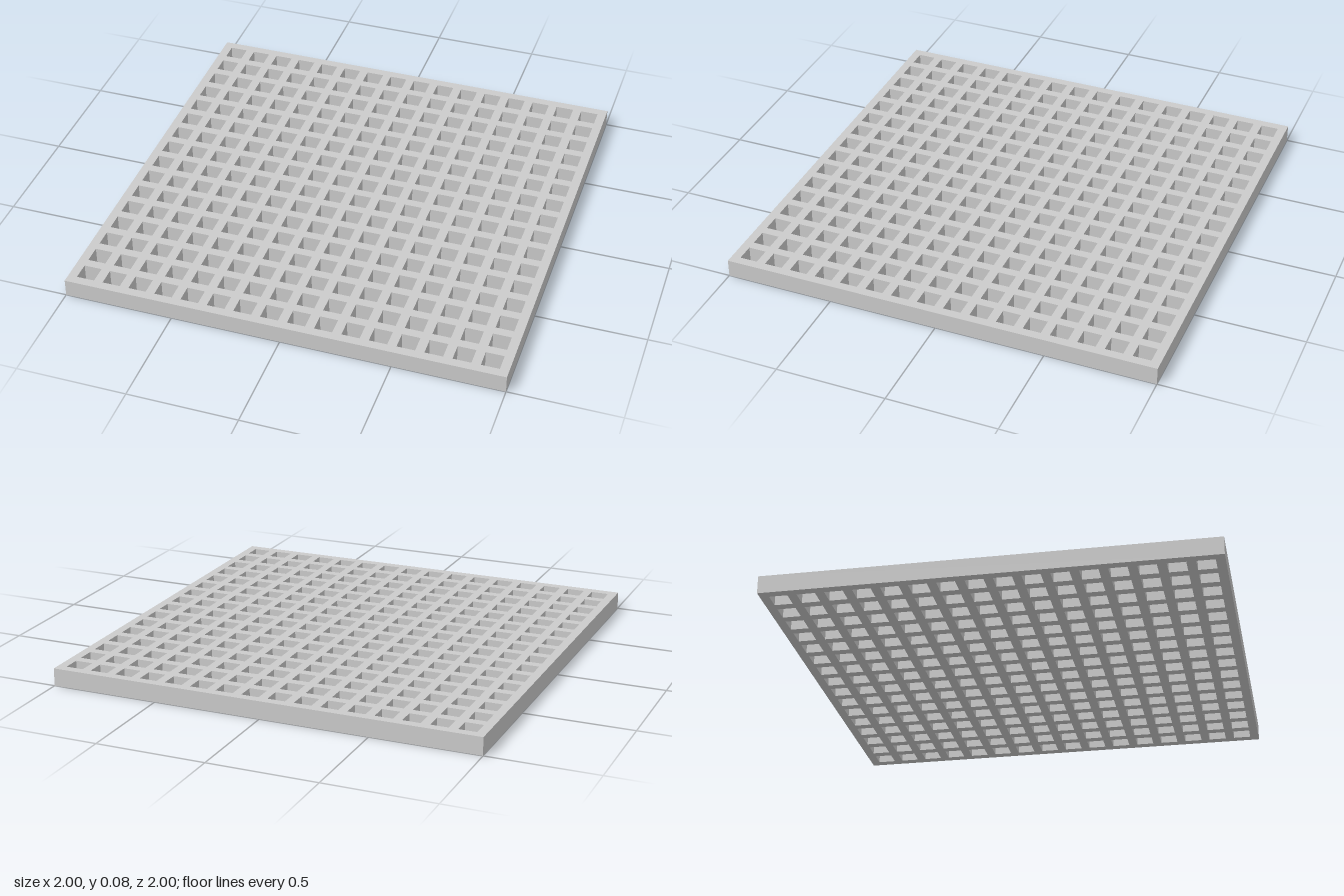
import * as THREE from 'three';

const CELLS = 16;                    // openings per side
const BAR = 2 / (3 * CELLS + 1);     // bar width; each opening is two bars wide
const HEIGHT = 2 * BAR;

// Adds a closed square with its lower corner at (x, y)
function square(path, x, y, size) {
  path.moveTo(x, y);
  path.lineTo(x + size, y);
  path.lineTo(x + size, y + size);
  path.lineTo(x, y + size);
  path.closePath();
  return path;
}

export function createModel() {
  const group = new THREE.Group();
  group.name = 'gratingPanel';

  // Square plate pierced by a regular grid of openings
  const plate = square(new THREE.Shape(), -1, -1, 2);
  for (let i = 0; i < CELLS; i++) {
    for (let j = 0; j < CELLS; j++) {
      const x = -1 + BAR + i * 3 * BAR;
      const y = -1 + BAR + j * 3 * BAR;
      plate.holes.push(square(new THREE.Path(), x, y, 2 * BAR));
    }
  }

  // Extruded upwards and laid flat on the floor
  const geometry = new THREE.ExtrudeGeometry(plate, { depth: HEIGHT, bevelEnabled: false });
  geometry.rotateX(-Math.PI / 2);

  const grating = new THREE.Mesh(
    geometry,
    new THREE.MeshStandardMaterial({ color: 0xcccccc, flatShading: true })
  );
  grating.name = 'grating';
  group.add(grating);
  return group;
}
